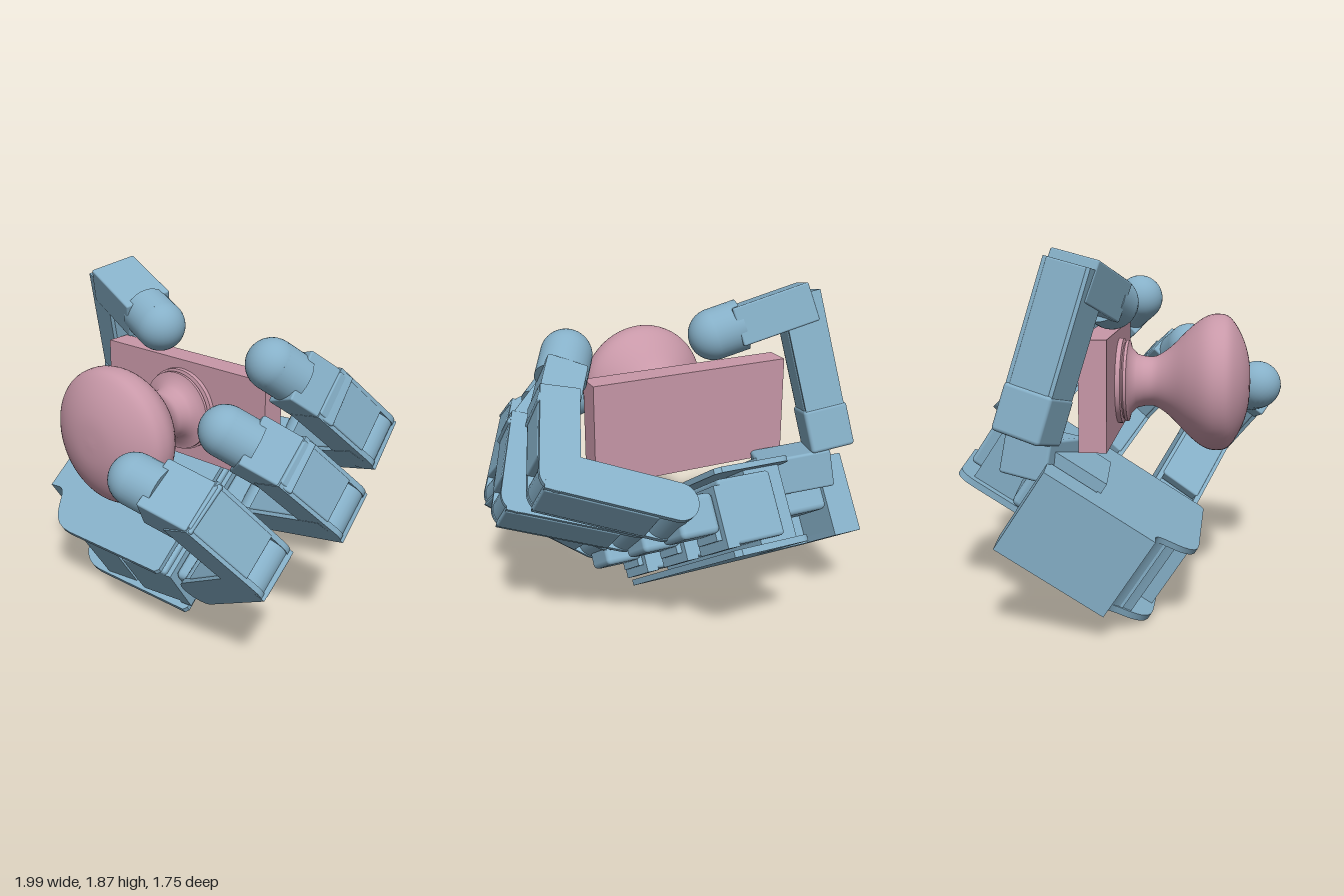
import * as THREE from 'three';
import { RoundedBoxGeometry } from 'three/addons/geometries/RoundedBoxGeometry.js';
import { toCreasedNormals } from 'three/addons/utils/BufferGeometryUtils.js';

const blue = new THREE.MeshStandardMaterial({ color: 0x86b0c8 });
const pink = new THREE.MeshStandardMaterial({ color: 0xc898a8 });
const V = (x, y, z) => new THREE.Vector3(x, y, z);

function add(parent, name, geometry, material = blue) {
  const mesh = new THREE.Mesh(geometry, material);
  mesh.name = name;
  parent.add(mesh);
  return mesh;
}

// Box given by its minimum and maximum corners
function block(parent, name, a, b, r = 0) {
  const s = b.map((v, i) => v - a[i]);
  const geo = r ? new RoundedBoxGeometry(...s, 2, r) : new THREE.BoxGeometry(...s);
  add(parent, name, geo).position.set(...a.map((v, i) => (v + b[i]) / 2));
}

function slab(parent, name, shape, z0, z1) {
  const geo = new THREE.ExtrudeGeometry(shape, { depth: z1 - z0, bevelEnabled: false, curveSegments: 10 });
  add(parent, name, toCreasedNormals(geo, 0.6)).position.z = z0;
}

// Frame at p: x runs towards q, z across the finger
function frame(parent, name, p, q, across) {
  const x = q.clone().sub(p).normalize();
  const z = across.clone().addScaledVector(x, -across.dot(x)).normalize();
  const y = z.clone().cross(x);
  const g = new THREE.Group();
  g.name = name;
  g.quaternion.setFromRotationMatrix(new THREE.Matrix4().makeBasis(x, y, z));
  g.position.copy(p);
  parent.add(g);
  return g;
}

// Side bracket: rounded at the first joint, square at the far end
function bracketShape(len, r) {
  const s = new THREE.Shape();
  s.absarc(0, 0, r, Math.PI / 2, Math.PI * 1.5);
  s.lineTo(len, -r);
  s.lineTo(len, r);
  s.closePath();
  return s;
}

function knuckle(parent, r, w) {
  add(parent, 'knuckle', new THREE.CylinderGeometry(r, r, w, 24).rotateX(Math.PI / 2));
}

// Finger segment: motor housing between two side brackets
function link(parent, name, p, q, across, w = 0.29, t = 0.21) {
  const g = frame(parent, name, p, q, across);
  const len = p.distanceTo(q);
  block(g, 'housing', [0.08, -t / 2, -w / 2 + 0.02], [len + 0.06, t / 2, w / 2 - 0.02], 0.01);
  for (const s of [-1, 1]) {
    const z = s * (w / 2 - 0.015);
    slab(g, 'bracket', bracketShape(len + 0.06, t / 2 - 0.005), z - 0.015, z + 0.015);
  }
  knuckle(g, t / 2 - 0.01, w - 0.04);
}

// Last segment with a round rubber tip centred on q
function fingertip(parent, name, p, q, across, w = 0.28, r = 0.135) {
  const g = frame(parent, name, p, q, across);
  const len = p.distanceTo(q);
  const end = Math.max(len - 0.12, 0.14);
  block(g, 'housing', [-0.06, -0.105, -w / 2], [end, 0.105, w / 2], 0.01);
  add(g, 'tipSleeve', new THREE.CylinderGeometry(r, r, len - end + 0.04, 32).rotateZ(Math.PI / 2))
    .position.x = (len + end - 0.04) / 2;
  add(g, 'tipBall', new THREE.SphereGeometry(r, 32, 20)).position.x = len;
}

function finger(parent, name, [p0, p1, p2, tip]) {
  const g = new THREE.Group();
  g.name = name;
  parent.add(g);
  const across = p1.clone().sub(p0).cross(tip.clone().sub(p1)).normalize();
  link(g, 'proximalLink', p0, p1, across);
  link(g, 'middleLink', p1, p2, across);
  fingertip(g, 'distalLink', p2, tip, across);
}

function buildPalm() {
  const palm = new THREE.Group();
  palm.name = 'palm';
  palm.position.set(0.12, 0, 0.19);
  palm.rotation.set(-0.992, 0, 0.085);

  // Plate outline with a notch for the thumb and a curved wrist corner
  const s = new THREE.Shape();
  s.moveTo(0, 0.02);
  s.lineTo(0, 1.25);
  s.lineTo(-0.03, 1.28);
  s.lineTo(-0.4, 1.28);
  s.quadraticCurveTo(-0.47, 1.27, -0.47, 1.17);
  s.lineTo(-0.47, 0.68);
  s.lineTo(-0.86, 0.66);
  s.lineTo(-0.86, 0.94);
  s.lineTo(-1.04, 0.94);
  s.lineTo(-1.04, 0.32);
  s.lineTo(-0.97, 0.32);
  s.bezierCurveTo(-0.88, 0.31, -0.92, 0.08, -0.7, 0.06);
  s.lineTo(-0.02, 0);
  s.closePath();
  slab(palm, 'backPlate', s, 0, 0.035);
  slab(palm, 'palmPlate', s, 0.425, 0.455);

  // Solid wrist end
  const w = new THREE.Shape();
  w.moveTo(-1.04, 0.32);
  w.lineTo(-0.97, 0.32);
  w.quadraticCurveTo(-0.91, 0.3, -0.87, 0.19);
  w.lineTo(-0.86, 0.94);
  w.lineTo(-1.04, 0.94);
  w.closePath();
  slab(palm, 'wristBlock', w, 0.005, 0.45);

  // Inner walls and motor housings between the plates
  block(palm, 'centreWall', [-0.63, 0.07, 0.03], [-0.41, 0.67, 0.43]);
  block(palm, 'wristPanel', [-0.9, 0.24, 0.03], [-0.6, 0.64, 0.43]);
  block(palm, 'spine', [-0.42, 0.12, 0.03], [-0.2, 1.2, 0.43]);
  for (const v of [0.18, 0.68, 1.12]) {
    block(palm, 'fingerMotor', [-0.32, v - 0.15, 0.06], [0, v + 0.14, 0.4], 0.02);
    block(palm, 'fingerMount', [-0.04, v - 0.15, 0.05], [0.03, v + 0.14, 0.37]);
    block(palm, 'mountStep', [0.02, v - 0.1, 0.1], [0.06, v + 0.1, 0.33]);
    block(palm, 'fingerBase', [0.03, v - 0.12, 0.14], [0.25, v + 0.12, 0.35], 0.03);
  }

  // Thumb motor seated in the notch
  block(palm, 'thumbMotor', [-0.83, 0.69, 0.16], [-0.5, 0.98, 0.44], 0.03);
  block(palm, 'thumbBracket', [-0.84, 0.64, 0.44], [-0.45, 0.95, 0.51]);
  return palm;
}

function buildThumb(parent) {
  const g = new THREE.Group();
  g.name = 'thumb';
  parent.add(g);
  const base = V(-0.63, 0.83, -0.34), root = V(-0.81, 1.07, -0.36);
  const bend = V(-0.725, 1.725, -0.17), tip = V(-0.28, 1.58, -0.04);
  const across = bend.clone().sub(root).cross(tip.clone().sub(bend)).normalize();
  const yoke = frame(g, 'baseYoke', base, base.clone().add(V(0.06, 0.6, 0.1)), across);
  block(yoke, 'yokeBody', [-0.09, -0.2, -0.13], [0.12, 0.2, 0.13], 0.015);
  const lower = frame(g, 'lowerJoint', root, bend, across);
  block(lower, 'jointHousing', [-0.11, -0.12, -0.135], [0.13, 0.12, 0.135], 0.02);
  link(g, 'longLink', root, bend, across, 0.26, 0.22);
  fingertip(g, 'thumbTip', bend, tip, across, 0.27, 0.14);
}

function buildKnob() {
  const g = new THREE.Group();
  g.name = 'knobAndPanel';
  add(g, 'panel', new THREE.BoxGeometry(1.13, 0.56, 0.14), pink).position.set(-0.095, 1.145, -0.09);
  // Stem flange, waist and domed head
  const head = [[0.135, 0.12], [0.137, 0.18], [0.19, 0.26], [0.29, 0.36], [0.35, 0.44], [0.366, 0.51],
    [0.345, 0.575], [0.25, 0.637], [0.13, 0.675], [0, 0.685]].map(p => new THREE.Vector2(...p));
  const profile = [[0, -0.02], [0.23, -0.02], [0.23, 0.005], [0.205, 0.01], [0.22, 0.02], [0.22, 0.035],
    [0.18, 0.045], [0.145, 0.08]].map(p => new THREE.Vector2(...p))
    .concat(new THREE.SplineCurve(head).getPoints(36));
  profile[profile.length - 1].x = 0;
  const geo = toCreasedNormals(new THREE.LatheGeometry(profile, 56).rotateX(Math.PI / 2), 0.6);
  add(g, 'knob', geo, pink).position.set(-0.1, 1.145, 0);
  return g;
}

export function createModel() {
  const model = new THREE.Group();
  model.name = 'gripperHand';
  model.add(buildPalm(), buildKnob());
  buildThumb(model);
  // Joint positions from the palm to the tip
  finger(model, 'frontFinger', [V(0.31, 0.36, 0.22), V(0.79, 0.675, 0.43), V(0.61, 0.99, 0.665), V(0.26, 1.08, 0.73)]);
  finger(model, 'middleFinger', [V(0.31, 0.64, -0.24), V(0.89, 0.83, -0.08), V(0.75, 1.1, 0.16), V(0.49, 1.27, 0.33)]);
  finger(model, 'backFinger', [V(0.27, 0.89, -0.64), V(0.81, 1.08, -0.47), V(0.7, 1.35, -0.2), V(0.54, 1.55, 0.03)]);
  return model;
}
